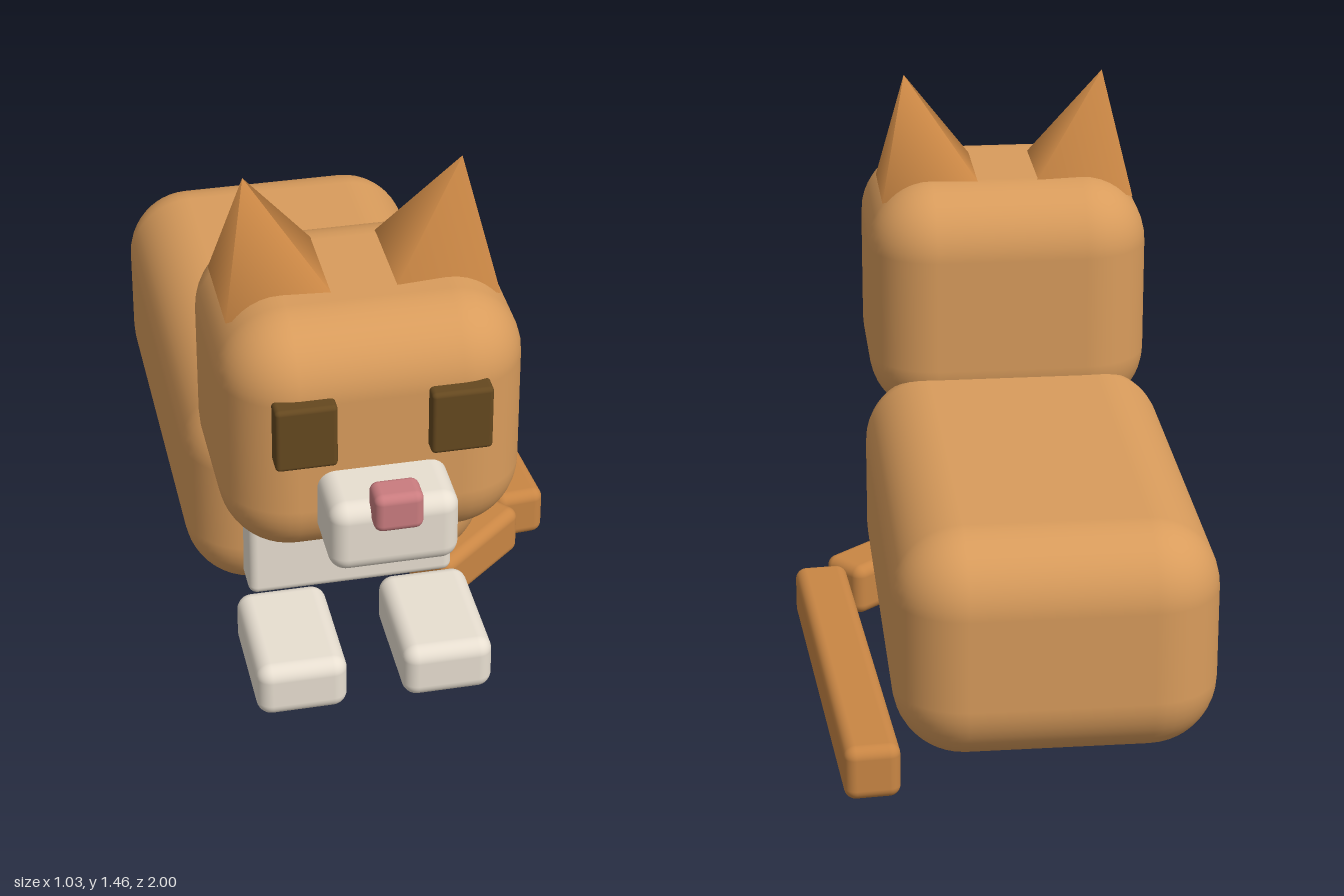
import * as THREE from 'three';
import { RoundedBoxGeometry } from 'three/addons/geometries/RoundedBoxGeometry.js';

const mat = (color) => new THREE.MeshStandardMaterial({ color });

export function createModel() {
  const cat = new THREE.Group();
  cat.name = 'cat';
  const fur = mat(0xd99c5c), darkFur = mat(0xc98644), cream = mat(0xe8dfd1);
  const eyeBrown = mat(0x65481f), pink = mat(0xca7c7f);

  // Rounded block from size, centre and edge radius
  function block(name, size, centre, radius, material, turn = 0) {
    const mesh = new THREE.Mesh(new RoundedBoxGeometry(...size, 6, radius), material);
    mesh.name = name;
    mesh.position.set(...centre);
    mesh.rotation.y = turn;
    cat.add(mesh);
  }

  // Torso and head
  block('body', [0.82, 0.605, 1.33], [-0.107, 0.367, -0.335], 0.18, fur);
  block('chest', [0.555, 0.48, 0.12], [-0.107, 0.39, 0.35], 0.025, cream);
  block('head', [0.77, 0.675, 0.65], [-0.105, 0.852, 0.465], 0.18, fur);
  block('muzzle', [0.325, 0.195, 0.24], [-0.107, 0.713, 0.84], 0.045, cream);
  block('nose', [0.123, 0.105, 0.09], [-0.107, 0.81, 0.955], 0.022, pink);

  // Paired parts, mirrored about the body's middle
  for (const [side, s] of [['left', 1], ['right', -1]]) {
    block(side + 'Eye', [0.155, 0.177, 0.07], [-0.107 + s * 0.194, 0.938, 0.793], 0.012, eyeBrown);
    block(side + 'Paw', [0.24, 0.155, 0.36], [-0.107 + s * 0.194, 0.082, 0.565], 0.04, cream);

    const ear = new THREE.Mesh(
      new THREE.ConeGeometry(0.191, 0.305, 4).rotateY(Math.PI / 4).translate(0, 0.1525, 0), darkFur);
    ear.name = side + 'Ear';
    ear.position.set(-0.107 + s * 0.214, 1.16, 0.438);
    ear.rotation.z = -s * 0.2;
    cat.add(ear);
  }

  // Tail lying bent along the left side
  block('tailTip', [0.145, 0.145, 0.34], [0.25, 0.0725, 0.215], 0.03, darkFur, -0.87);
  block('tailBase', [0.142, 0.145, 1.09], [0.4, 0.0725, -0.435], 0.03, darkFur, 0.073);

  return cat;
}
